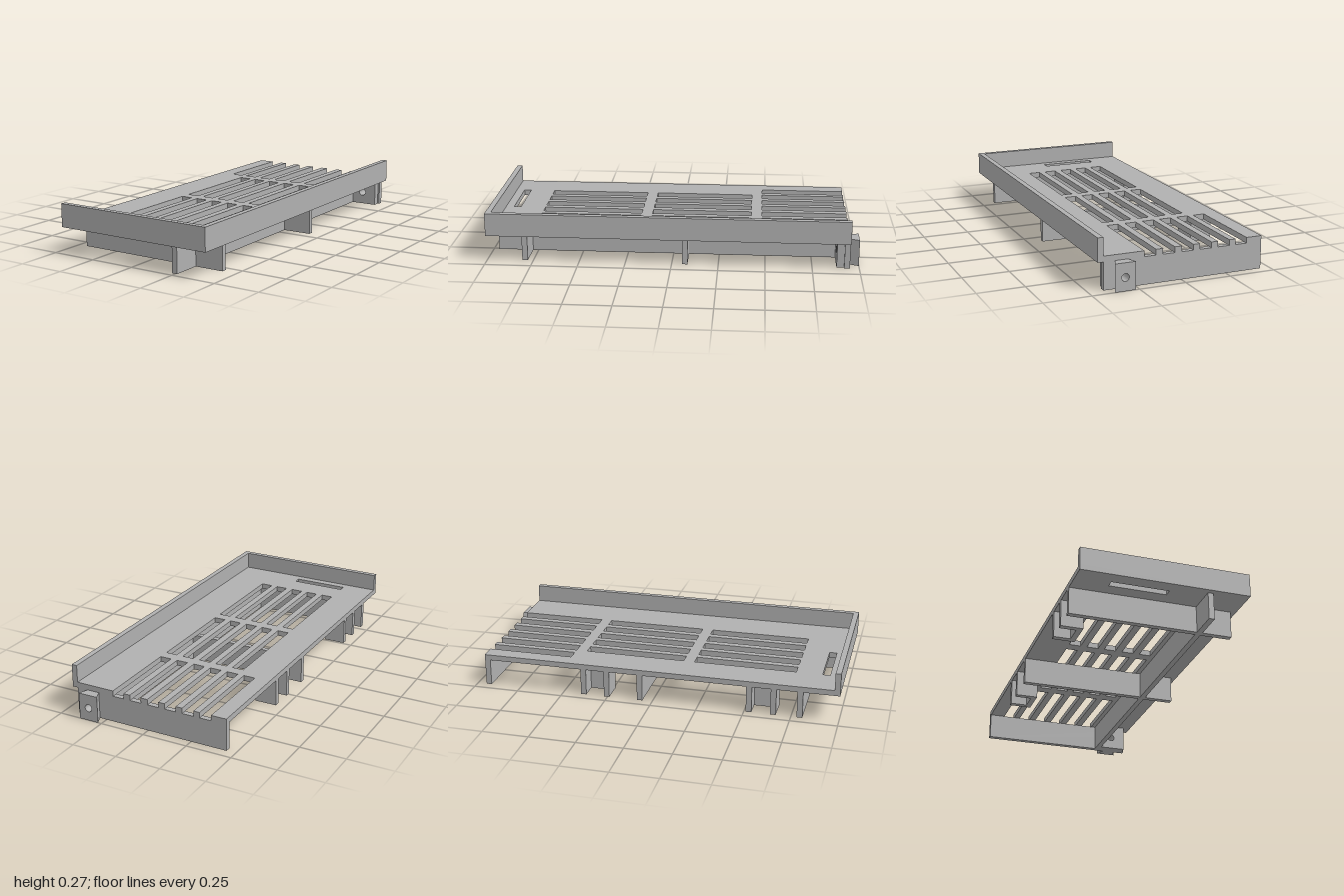
import * as THREE from 'three';

const grey = new THREE.MeshStandardMaterial({ color: 0xb0b0b0 });
grey.name = 'grey plastic';

const FLOOR = 0.145, DECK = 0.175, TOP = 0.27, T = 0.03;
const HOLE = { x: 0.325, y: 0.07, r: 0.02 };

function add(group, name, geometry) {
  const mesh = new THREE.Mesh(geometry, grey);
  mesh.name = name;
  group.add(mesh);
  return mesh;
}

// Box given by its limits on each axis
function block(group, name, x0, x1, y0, y1, z0, z1) {
  const mesh = add(group, name, new THREE.BoxGeometry(x1 - x0, y1 - y0, z1 - z0));
  mesh.position.set((x0 + x1) / 2, (y0 + y1) / 2, (z0 + z1) / 2);
  return mesh;
}

function rect(Type, x0, x1, y0, y1) {
  return new Type([[x0, y0], [x1, y0], [x1, y1], [x0, y1]].map(p => new THREE.Vector2(...p)));
}

// Upright panel across the depth, drilled for the fastener
function drilled(x0, x1, z0, z1) {
  const shape = rect(THREE.Shape, x0, x1, 0, FLOOR);
  shape.holes.push(new THREE.Path().absarc(HOLE.x, HOLE.y, HOLE.r, 0, Math.PI * 2, true));
  const geo = new THREE.ExtrudeGeometry(shape, { depth: z1 - z0, bevelEnabled: false, curveSegments: 20 });
  return geo.translate(0, 0, z0);
}

// Slotted deck, drawn in plan with shape y = -z
function deckGeometry() {
  const columns = [-0.365, -0.266, -0.165, -0.065, 0.038, 0.14];
  const W = 0.064;
  const shape = new THREE.Shape();
  shape.moveTo(-0.45, -1);
  shape.lineTo(0.45, -1);
  shape.lineTo(0.45, 0.95);
  // Slots of the back row run out through the edge
  for (const x of [...columns].reverse()) {
    shape.lineTo(x + W, 0.95);
    shape.lineTo(x + W, 0.48);
    shape.lineTo(x, 0.48);
    shape.lineTo(x, 0.95);
  }
  shape.lineTo(-0.45, 0.95);
  shape.closePath();
  for (const x of columns.slice(1)) {
    for (const [z0, z1] of [[-0.42, 0.13], [0.19, 0.745]]) {
      shape.holes.push(rect(THREE.Path, x, x + W, -z1, -z0));
    }
  }
  shape.holes.push(rect(THREE.Path, -0.266, 0.04, -0.925, -0.885));
  const geo = new THREE.ExtrudeGeometry(shape, { depth: DECK - FLOOR, bevelEnabled: false });
  return geo.rotateX(-Math.PI / 2).translate(0, FLOOR, 0);
}

export function createModel() {
  const model = new THREE.Group();
  model.name = 'slottedTray';

  add(model, 'deck', deckGeometry());

  // Raised rim on the front and one side
  block(model, 'frontRim', -0.45, 0.45, DECK, TOP, 1 - T, 1);
  block(model, 'sideRim', 0.45 - T, 0.45, DECK, TOP, -0.95, 1 - T);

  // Ribs under the deck
  block(model, 'longRib', 0.23, 0.26, 0, FLOOR, -0.92, 0.97);
  for (const z of [-0.085, 0.78]) {
    block(model, 'crossRib', -0.45, 0.42, 0, FLOOR, z, z + T);
  }

  // Open channel feet along the right edge
  for (const z of [-0.40, 0.51]) {
    const foot = new THREE.Group();
    foot.name = 'channelFoot';
    block(foot, 'footBack', -0.36, -0.33, 0, FLOOR, z, z + 0.16);
    block(foot, 'footWall', -0.45, -0.36, 0, FLOOR, z, z + T);
    block(foot, 'footWall', -0.45, -0.36, 0, FLOOR, z + 0.13, z + 0.16);
    model.add(foot);
  }

  // Back panel with its boss and flared lug
  add(model, 'backPanel', drilled(-0.45, 0.42, -0.95, -0.92));
  add(model, 'boss', drilled(0.26, 0.41, -0.92, -0.88));
  const lug = drilled(0.27, 0.38, -1, -0.95);
  const p = lug.attributes.position;
  for (let i = 0; i < p.count; i++) {
    const dx = p.getX(i) - HOLE.x;
    if (p.getZ(i) > -0.97 && Math.abs(dx) > 0.05) p.setX(i, HOLE.x + Math.sign(dx) * 0.034);
  }
  lug.computeVertexNormals();
  add(model, 'flaredLug', lug);

  return model;
}
